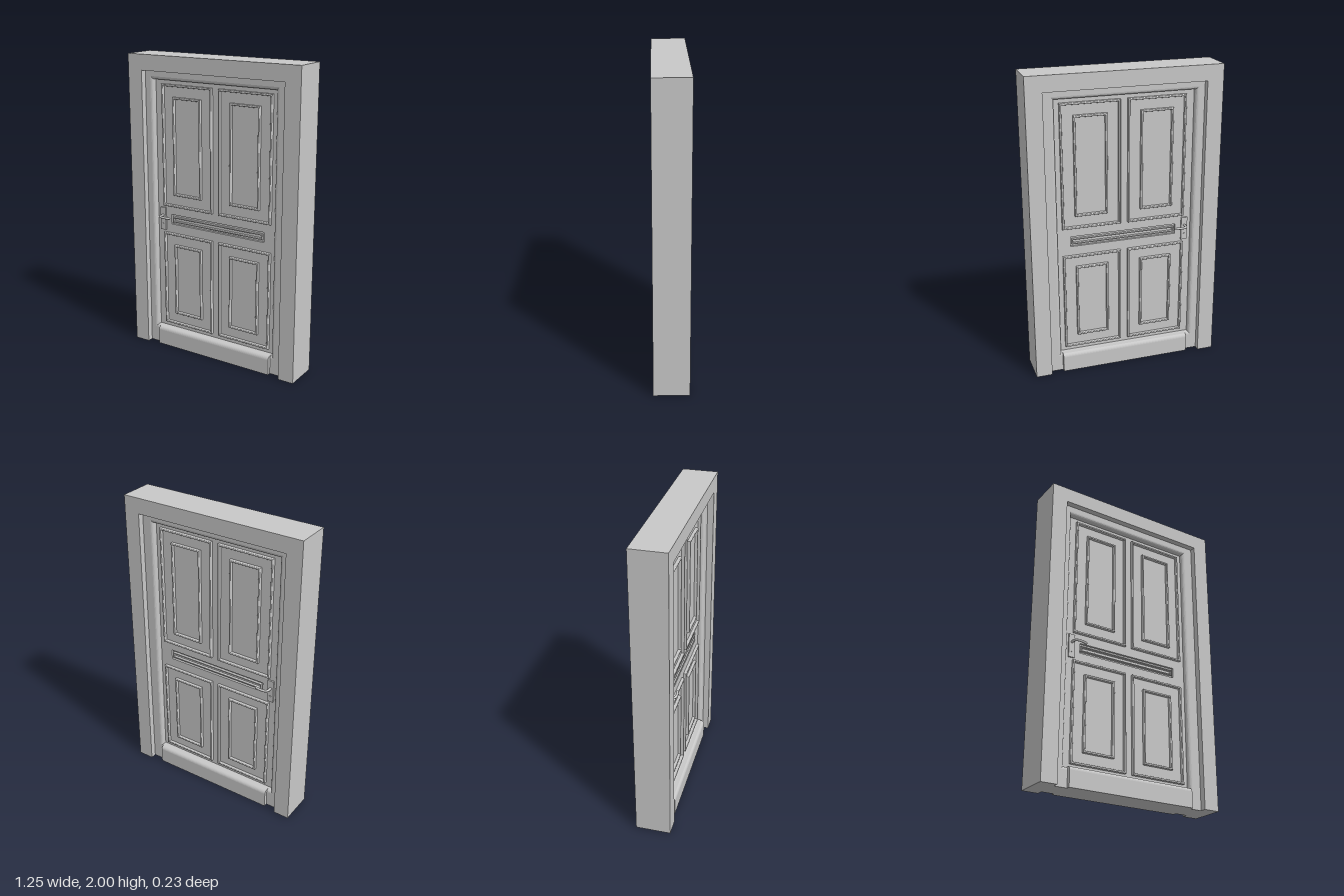
import * as THREE from 'three';

const grey = new THREE.MeshStandardMaterial({ color: 0xc8c8c8 });
grey.name = 'grey';

const LEAF_Z = 0.04, FRAME_Z = 0.075, WALL_Z = 0.115;

function add(parent, name, geometry, x = 0, y = 0, z = 0) {
  const mesh = new THREE.Mesh(geometry, grey);
  mesh.name = name;
  mesh.position.set(x, y, z);
  parent.add(mesh);
  return mesh;
}

function rectPath(path, x0, x1, y0, y1) {
  path.moveTo(x0, y0);
  path.lineTo(x1, y0);
  path.lineTo(x1, y1);
  path.lineTo(x0, y1);
  path.closePath();
  return path;
}

// Rectangular moulding of width w with rounded edges of radius b, rising h above z
function moulding(parent, name, [x0, x1, y0, y1], w, h, z = LEAF_Z, b = w * 0.4) {
  const shape = rectPath(new THREE.Shape(), x0, x1, y0, y1);
  shape.holes.push(rectPath(new THREE.Path(), x0 + w, x1 - w, y0 + w, y1 - w));
  const geometry = new THREE.ExtrudeGeometry(shape, {
    depth: h - b, bevelEnabled: true, bevelSize: b, bevelOffset: -b, bevelThickness: b, bevelSegments: 4,
  });
  add(parent, name, geometry, 0, 0, z);
}

// Lever handle; s is the direction in which the lever points
function makeHandle(s) {
  const handle = new THREE.Group();
  handle.name = 'handle';
  add(handle, 'handlePlate', new THREE.BoxGeometry(0.042, 0.155, 0.014), 0, 0.906, LEAF_Z + 0.004);
  const path = new THREE.CatmullRomCurve3([
    [0, 0.929, 0.045], [0, 0.929, 0.082], [0.012, 0.929, 0.095], [0.045, 0.928, 0.097], [0.078, 0.926, 0.09],
  ].map(([x, y, z]) => new THREE.Vector3(s * x, y, z)));
  add(handle, 'lever', new THREE.TubeGeometry(path, 24, 0.008, 10));
  add(handle, 'leverTip', new THREE.SphereGeometry(0.008, 10, 8), s * 0.078, 0.926, 0.09);
  const lock = add(handle, 'lockCylinder', new THREE.CylinderGeometry(0.007, 0.007, 0.006, 16), 0, 0.868, 0.052);
  lock.rotation.x = Math.PI / 2;
  return handle;
}

// Everything mounted on one face of the door
function makeFace(name, s) {
  const face = new THREE.Group();
  face.name = name;

  // Two columns of tall upper and short lower panels
  for (const cx of [-0.217, 0.217]) {
    for (const [y0, y1] of [[1.0, 1.813], [0.155, 0.813]]) {
      moulding(face, 'panelMoulding', [cx - 0.193, cx + 0.193, y0, y1], 0.013, 0.02);
      moulding(face, 'innerMoulding', [cx - 0.108, cx + 0.108, y0 + 0.08, y1 - 0.08], 0.013, 0.02);
    }
  }

  // Letter slot rim, set inside the recess in the leaf
  moulding(face, 'letterSlotRim', [-0.347, 0.347, 0.888, 0.926], 0.009, 0.022, 0.02);

  // Weatherboard with rounded upper edge
  const profile = new THREE.Shape();
  profile.moveTo(0.06, 0);
  profile.lineTo(0.1, 0);
  profile.lineTo(0.1, 0.104);
  profile.quadraticCurveTo(0.099, 0.12, 0.085, 0.127);
  profile.lineTo(0.06, 0.127);
  profile.closePath();
  const board = new THREE.ExtrudeGeometry(profile, { depth: 0.874, bevelEnabled: false, curveSegments: 8 });
  board.rotateY(-Math.PI / 2);
  add(face, 'weatherboard', board, 0.437);

  const handle = makeHandle(s);
  handle.position.x = -0.419 * s;
  face.add(handle);
  return face;
}

// Extruded arch open at the bottom, centred in depth
function surround(parent, name, outer, top, left, right, innerTop, halfDepth) {
  const shape = new THREE.Shape();
  [[-outer, 0], [left, 0], [left, innerTop], [right, innerTop], [right, 0], [outer, 0], [outer, top], [-outer, top]]
    .forEach(([x, y], i) => (i ? shape.lineTo(x, y) : shape.moveTo(x, y)));
  const geometry = new THREE.ExtrudeGeometry(shape, { depth: 2 * halfDepth, bevelEnabled: false });
  add(parent, name, geometry, 0, 0, -halfDepth);
}

export function createModel() {
  const model = new THREE.Group();
  model.name = 'panelDoor';

  surround(model, 'wallSurround', 0.627, 2, -0.521, 0.521, 1.898, WALL_Z);

  // Frame with a rounded lining around the leaf
  surround(model, 'doorFrame', 0.521, 1.898, -0.488, 0.47, 1.865, FRAME_Z);
  const r = 0.02;
  moulding(model, 'frameLining', [-0.513, 0.495, 0.077, 1.89], 0.05, 2 * FRAME_Z - r, r - FRAME_Z, r);
  add(model, 'sill', new THREE.BoxGeometry(0.958, 0.105, 2 * FRAME_Z), -0.009, 0.0525, 0);

  // Leaf with an opening for the letter slot, closed by a recessed plate
  const leaf = rectPath(new THREE.Shape(), -0.463, 0.445, 0.127, 1.842);
  leaf.holes.push(rectPath(new THREE.Path(), -0.357, 0.357, 0.874, 0.941));
  add(model, 'doorLeaf', new THREE.ExtrudeGeometry(leaf, { depth: 2 * LEAF_Z, bevelEnabled: false }), 0, 0, -LEAF_Z);
  add(model, 'letterSlotPlate', new THREE.BoxGeometry(0.73, 0.08, 0.05), 0, 0.9075, 0);

  // Both faces carry the same fittings, with the handles on the same edge
  model.add(makeFace('frontFace', 1));
  const back = makeFace('backFace', -1);
  back.rotation.y = Math.PI;
  model.add(back);
  return model;
}
